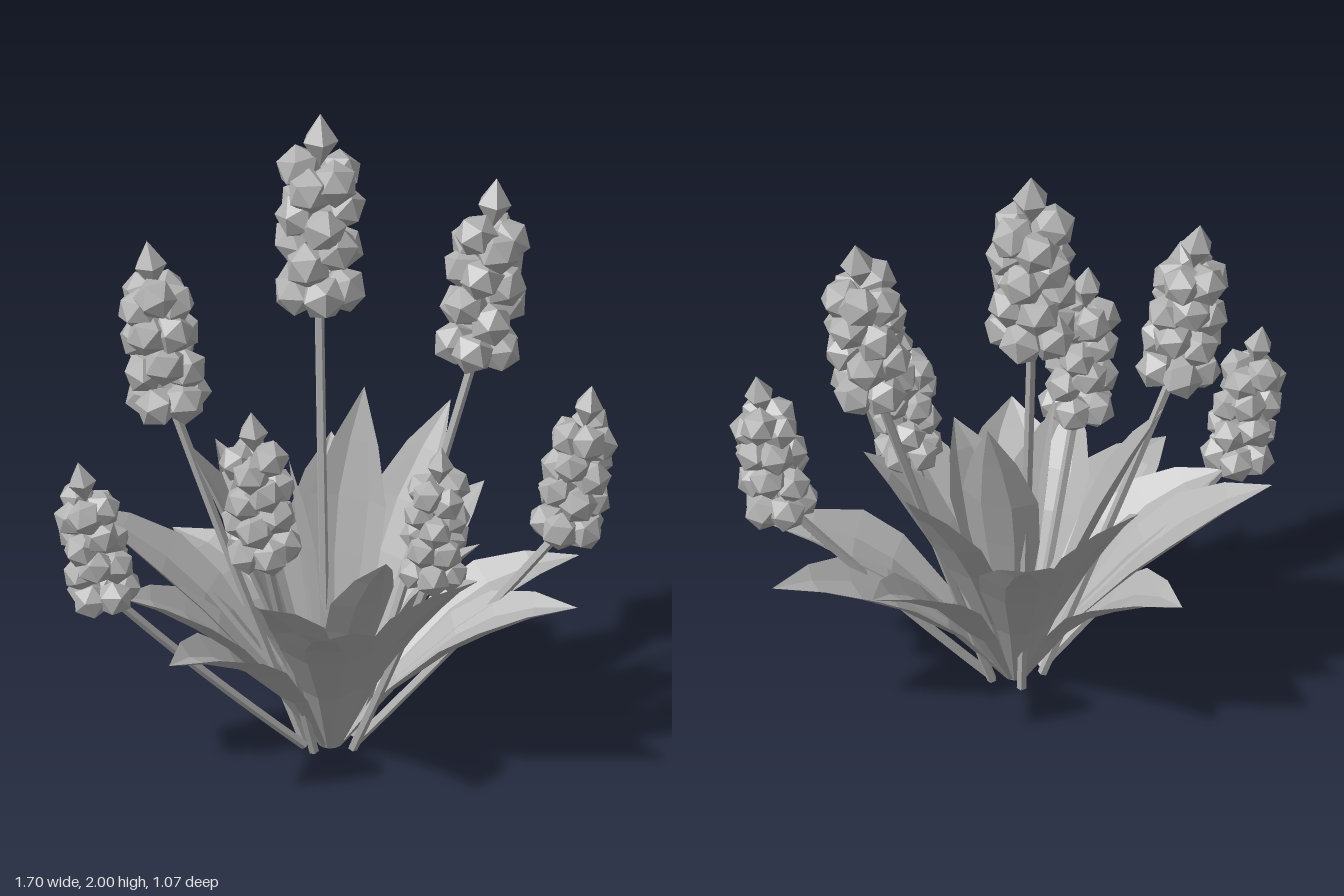
import * as THREE from 'three';

const V = (x, y, z) => new THREE.Vector3(x, y, z);
const grey = new THREE.MeshStandardMaterial({ color: 0xb0b0b0, flatShading: true, side: THREE.DoubleSide });
grey.name = 'plant grey';

// tip x, y, z and half width of each leaf
const LEAVES = [
  [0.09, 0.77, -0.54, 0.13], [-0.40, 0.52, -0.48, 0.14], [0.53, 0.64, -0.40, 0.13],
  [-0.73, 0.75, -0.24, 0.14], [0.77, 0.52, -0.11, 0.13], [0.71, 0.52, 0.22, 0.14],
  [0.37, 0.77, 0.47, 0.13], [-0.11, 0.64, 0.53, 0.15], [-0.55, 0.52, 0.39, 0.14],
  [-0.28, 0.70, 0.41, 0.12], [-0.66, 0.60, 0.08, 0.14],
  [0.42, 0.95, -0.35, 0.12], [-0.28, 0.84, -0.42, 0.12], [0.14, 1.08, -0.23, 0.12],
  [-0.13, 0.99, 0.03, 0.06], [-0.42, 1.0, -0.13, 0.11], [0.42, 0.75, 0.2, 0.11],
  [0.12, 0.76, 0.3, 0.11],
];

// bottom and tip of each flower spike
const FLOWERS = [
  [V(0, 1.36, -0.22), V(0.01, 2.0, -0.25)],
  [V(0.46, 1.18, -0.13), V(0.53, 1.78, -0.17)],
  [V(-0.46, 1.09, -0.12), V(-0.53, 1.67, -0.15)],
  [V(-0.235, 0.75, 0.22), V(-0.28, 1.28, 0.25)],
  [V(0.265, 0.65, 0.25), V(0.29, 1.13, 0.28)],
  [V(0.7, 0.66, 0.05), V(0.78, 1.18, 0.06)],
  [V(-0.69, 0.58, 0.1), V(-0.78, 1.08, 0.11)],
];

function mesh(name, geometry) {
  const m = new THREE.Mesh(geometry, grey);
  m.name = name;
  return m;
}

// Cupped, pointed blade swept along an arching curve
function leaf([x, y, z, half]) {
  const out = V(x, 0, z).normalize();
  const side = V(0, 1, 0).cross(out);
  const control = V(x * 0.46, 0.38 + 0.22 * y, z * 0.46);
  const base = out.clone().multiplyScalar(0.035).setY(0.01);
  const curve = new THREE.QuadraticBezierCurve3(base, control, V(x, y, z));
  const profile = [[0, 0.12], [0.25, 0.5], [0.5, 0.93], [0.66, 1], [0.83, 0.6], [1, 0]];
  const across = [-1, -0.4, 0.4, 1];
  const pos = [], index = [];
  profile.forEach(([t, w], i) => {
    const normal = curve.getTangent(t).cross(side).normalize();
    for (const a of across) {
      const p = curve.getPoint(t)
        .addScaledVector(side, a * w * half)
        .addScaledVector(normal, (a * a - 0.3) * w * half * 0.4);
      pos.push(p.x, p.y, p.z);
    }
    if (i === 0) return;
    for (let j = 0; j < 3; j++) {
      const a = (i - 1) * 4 + j, b = a + 4;
      index.push(a, a + 1, b, a + 1, b + 1, b);
    }
  });
  const g = new THREE.BufferGeometry();
  g.setAttribute('position', new THREE.Float32BufferAttribute(pos, 3));
  g.setIndex(index);
  g.computeVertexNormals();
  return mesh('leaf', g);
}

// Spike of faceted florets, built along +y at a length of 0.64
const berry = new THREE.IcosahedronGeometry(0.073, 0);
const bud = new THREE.LatheGeometry(
  [new THREE.Vector2(0, -0.09), new THREE.Vector2(0.056, 0), new THREE.Vector2(0, 0.085)], 5);

function spike(bottom, tip, seed) {
  const g = new THREE.Group();
  g.name = 'flowerSpike';
  const rings = [[0.07, 0.075], [0.195, 0.072], [0.315, 0.069], [0.43, 0.062]];
  rings.forEach(([h, r], k) => {
    for (let i = 0; i < 5; i++) {
      const a = (i + k * 0.5) * Math.PI * 0.4 + seed;
      const lift = k === 0 ? 0 : 0.028 * Math.sin(i * 2.4 + k);
      const m = mesh('floret', berry);
      m.position.set(Math.sin(a) * r, h + lift, Math.cos(a) * r);
      m.rotation.set(i * 1.3 + k, a, k * 0.7 + seed);
      g.add(m);
    }
  });
  const top = mesh('topBud', bud);
  top.position.y = 0.555;
  g.add(top);
  const axis = tip.clone().sub(bottom);
  g.scale.setScalar(axis.length() / 0.64);
  g.quaternion.setFromUnitVectors(V(0, 1, 0), axis.normalize());
  g.position.copy(bottom);
  return g;
}

// Thin, slightly bowed stalk reaching from the crown into the spike
function stem(bottom, tip) {
  const base = V(bottom.x, 0, bottom.z).normalize().multiplyScalar(0.08).setY(0.015);
  const end = bottom.clone().lerp(tip, 0.12);
  const mid = base.clone().lerp(end, 0.55);
  mid.y -= 0.03;
  const curve = new THREE.QuadraticBezierCurve3(base, mid, end);
  return mesh('stem', new THREE.TubeGeometry(curve, 8, 0.015, 5));
}

export function createModel() {
  const model = new THREE.Group();
  model.name = 'floweringPlant';
  for (const l of LEAVES) model.add(leaf(l));
  FLOWERS.forEach(([bottom, tip], i) => {
    model.add(stem(bottom, tip), spike(bottom, tip, i * 0.9));
  });
  return model;
}
